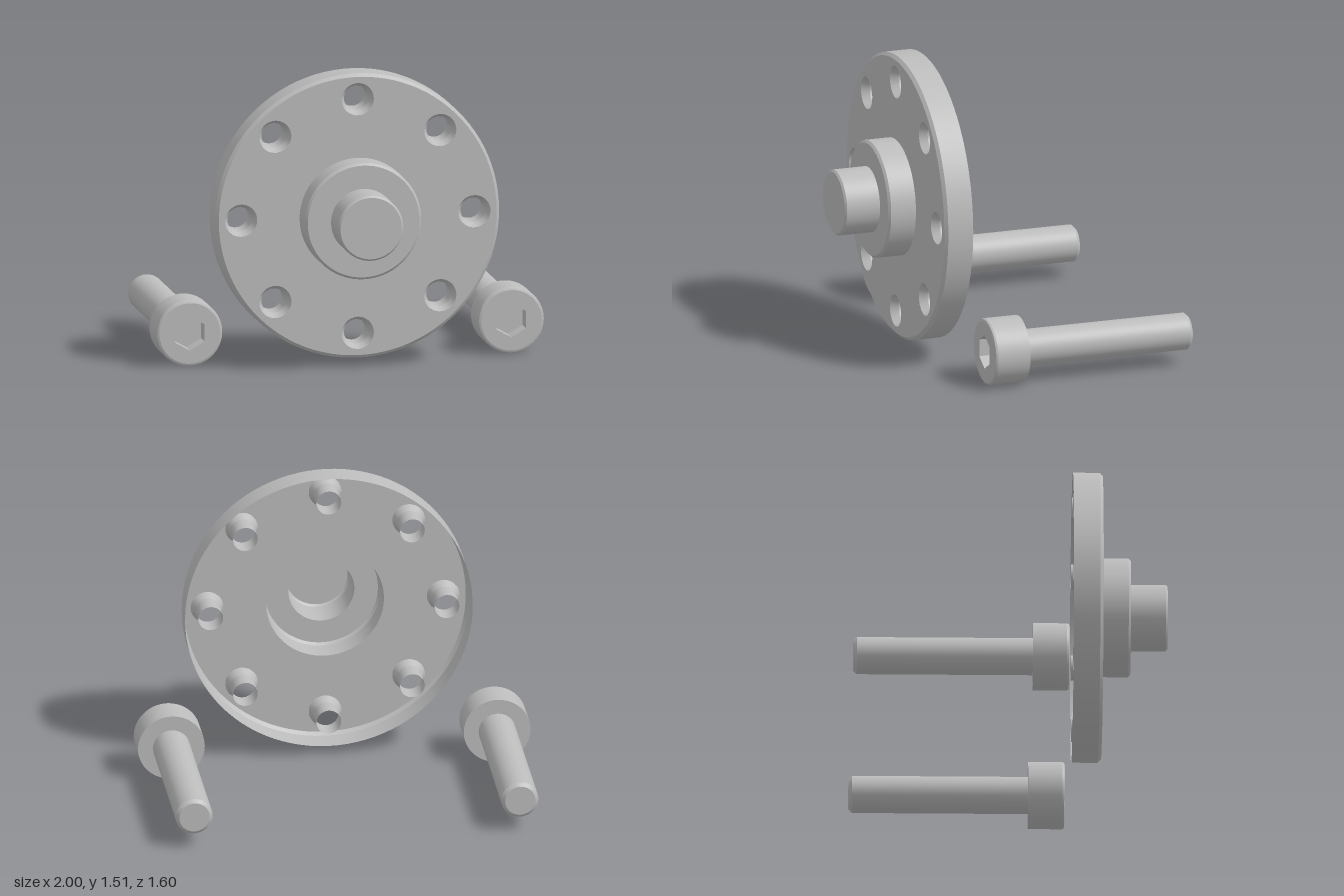
import * as THREE from 'three';
import { mergeGeometries } from 'three/addons/utils/BufferGeometryUtils.js';

const SEG = 96;
const steel = new THREE.MeshStandardMaterial({ color: 0xbcbcbc, side: THREE.DoubleSide });
steel.name = 'steel grey';

// Turned surface around z: points are [radius, z]; every segment keeps sharp edges
function turned(points, seg = SEG) {
  const parts = [];
  for (let i = 0; i < points.length - 1; i++) {
    const pair = [points[i], points[i + 1]].map(([r, z]) => new THREE.Vector2(r, z));
    parts.push(new THREE.LatheGeometry(pair, seg));
  }
  return mergeGeometries(parts).rotateX(Math.PI / 2);
}

function mesh(name, geometry) {
  const m = new THREE.Mesh(geometry, steel);
  m.name = name;
  return m;
}

function circle(Type, r, x = 0, y = 0) {
  const p = new Type();
  p.absarc(x, y, r, 0, Math.PI * 2, false);
  return p;
}

function hexagon(Type, r) {
  const pts = [];
  for (let i = 0; i < 6; i++) {
    const a = Math.PI / 2 + (i * Math.PI) / 3;
    pts.push(new THREE.Vector2(r * Math.cos(a), r * Math.sin(a)));
  }
  return new Type(pts);
}

// Thin-walled flange cover, open at the back
function makeFlange() {
  const g = new THREE.Group();
  g.name = 'flange';
  const front = 0.468, back = 0.318;

  g.add(mesh('flangeRim', turned([[0.733, back], [0.733, front - 0.016], [0.717, front]])));
  g.add(mesh('hub', turned([
    [0.3, front], [0.3, 0.601], [0.288, 0.613], [0.168, 0.613],
  ])));
  g.add(mesh('stub', turned([
    [0.168, 0.613], [0.168, 0.79], [0.158, 0.8], [0, 0.8],
  ])));

  // Front plate with the hub opening and eight bolt holes
  const plate = circle(THREE.Shape, 0.717);
  plate.holes.push(circle(THREE.Path, 0.3));
  for (let i = 0; i < 8; i++) {
    const a = (i * Math.PI) / 4;
    const x = 0.602 * Math.cos(a), y = 0.602 * Math.sin(a);
    plate.holes.push(circle(THREE.Path, 0.083, x, y));
    // Countersunk hole sleeve
    const sleeve = mesh('boltHole', turned([[0.083, front], [0.063, front - 0.04], [0.063, back]], 48));
    sleeve.position.set(x, y, 0);
    g.add(sleeve);
  }
  g.add(mesh('frontPlate', new THREE.ShapeGeometry(plate, 48).translate(0, 0, front)));
  g.position.y = 0.776;
  return g;
}

// Socket-head bolt lying along z, head to the front
function makeBolt(name, x) {
  const g = new THREE.Group();
  g.name = name;
  const front = 0.293, depth = 0.09, hexR = 0.088;

  g.add(mesh('shaft', turned([[0, -0.8], [0.077, -0.8], [0.094, -0.783], [0.094, 0.107]], 64)));
  g.add(mesh('head', turned([
    [0.094, 0.107], [0.17, 0.107], [0.17, front - 0.014], [0.166, front - 0.004], [0.156, front],
  ], 64)));

  const face = circle(THREE.Shape, 0.156);
  face.holes.push(hexagon(THREE.Path, hexR));
  g.add(mesh('headFace', new THREE.ShapeGeometry(face, 32).translate(0, 0, front)));

  // Hexagonal socket: walls facing inward, and floor
  const walls = new THREE.CylinderGeometry(hexR, hexR, depth, 6, 1, true).toNonIndexed();
  const p = walls.attributes.position;
  const a = new THREE.Vector3(), c = new THREE.Vector3();
  for (let i = 0; i < p.count; i += 3) {
    a.fromBufferAttribute(p, i);
    c.fromBufferAttribute(p, i + 2);
    p.setXYZ(i, c.x, c.y, c.z);
    p.setXYZ(i + 2, a.x, a.y, a.z);
  }
  walls.computeVertexNormals();
  walls.rotateX(Math.PI / 2).translate(0, 0, front - depth / 2);
  g.add(mesh('socketWalls', walls));
  g.add(mesh('socketFloor', new THREE.ShapeGeometry(hexagon(THREE.Shape, hexR)).translate(0, 0, front - depth)));

  g.position.set(x, 0.17, 0);
  return g;
}

export function createModel() {
  const model = new THREE.Group();
  model.name = 'flangeWithBolts';
  model.add(makeFlange(), makeBolt('leftBolt', 0.83), makeBolt('rightBolt', -0.83));
  return model;
}
